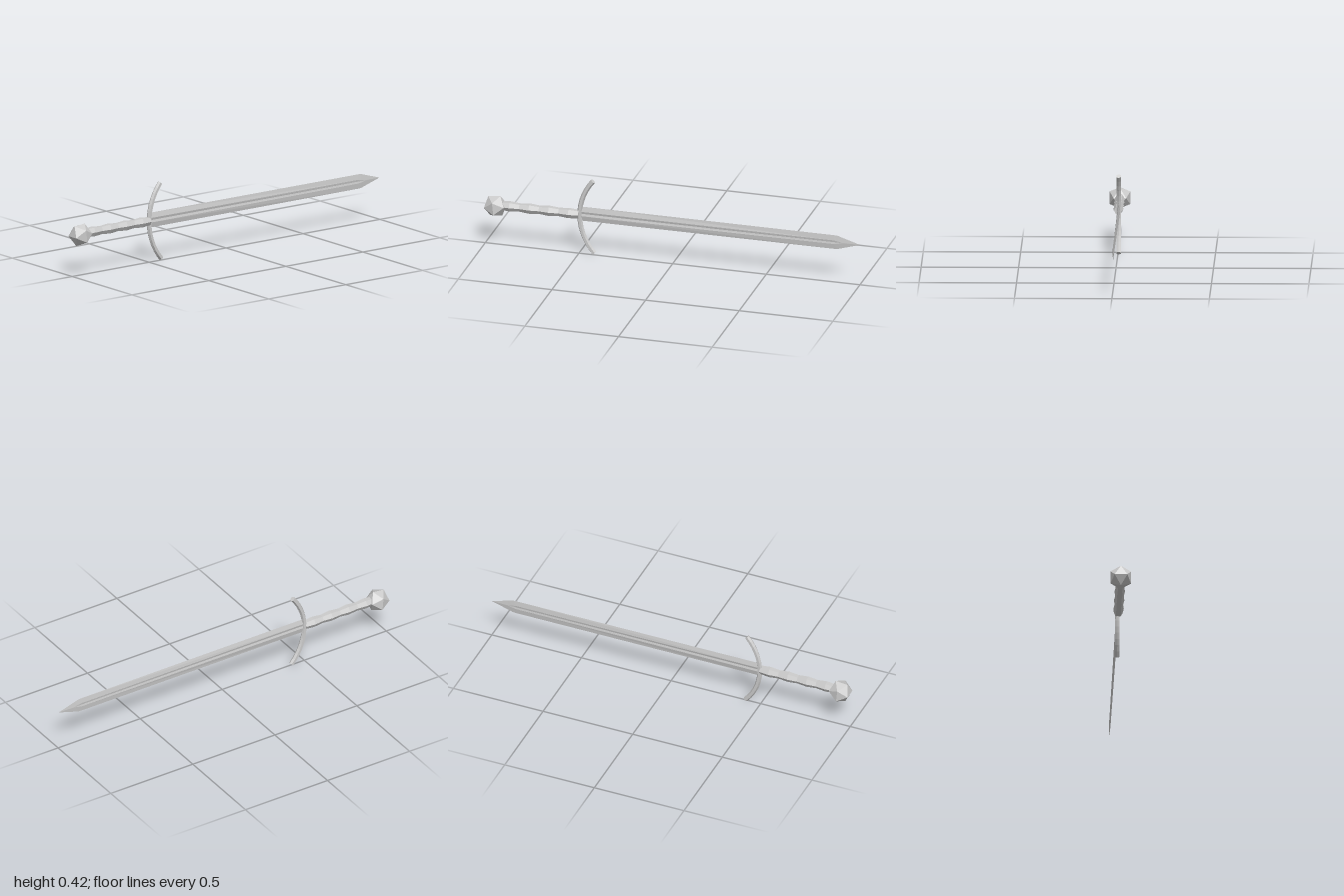
import * as THREE from 'three';

const V = (x, y, z) => new THREE.Vector3(x, y, z);
const material = new THREE.MeshStandardMaterial({ color: 0xcccccc, flatShading: true });

// Skin a list of equal-length rings, closing both ends with fans
function loft(rings) {
  const n = rings[0].length, pos = [];
  const tri = (...pts) => pts.forEach(p => pos.push(p.x, p.y, p.z));
  for (let i = 0; i < rings.length - 1; i++) {
    for (let j = 0; j < n; j++) {
      const k = (j + 1) % n;
      const a = rings[i][j], b = rings[i][k], c = rings[i + 1][k], d = rings[i + 1][j];
      tri(a, b, c);
      tri(a, c, d);
    }
  }
  const centre = r => r.reduce((s, p) => s.add(p), V(0, 0, 0)).divideScalar(n);
  const first = rings[0], last = rings[rings.length - 1];
  const c0 = centre(first), c1 = centre(last);
  for (let j = 0; j < n; j++) {
    const k = (j + 1) % n;
    tri(c0, first[k], first[j]);
    tri(c1, last[j], last[k]);
  }
  const g = new THREE.BufferGeometry();
  g.setAttribute('position', new THREE.Float32BufferAttribute(pos, 3));
  g.computeVertexNormals();
  return g;
}

// Six-sided ring around a centre, spanned by axes u and v
function hexRing(centre, u, v, radius, offset = 0) {
  return Array.from({ length: 6 }, (_, j) => {
    const a = offset + j * Math.PI / 3;
    return centre.clone().addScaledVector(u, radius * Math.cos(a)).addScaledVector(v, radius * Math.sin(a));
  });
}

export function createModel() {
  const sword = new THREE.Group();
  sword.name = 'sword';
  const add = (name, geometry) => {
    const mesh = new THREE.Mesh(geometry, material);
    mesh.name = name;
    sword.add(mesh);
    return mesh;
  };

  // Pommel: slightly turned icosahedron
  const pommel = add('pommel', new THREE.IcosahedronGeometry(0.062, 0));
  pommel.position.set(-0.946, 0.213, 0);
  pommel.rotation.z = THREE.MathUtils.degToRad(6);

  // Grip: hexagonal bar with four soft swells
  const grip = [];
  for (let i = 0; i <= 16; i++) {
    const t = i / 16;
    const radius = 0.0245 - 0.0025 * Math.cos(t * 8 * Math.PI);
    grip.push(hexRing(V(-0.92 + 0.42 * t, 0.218, 0), V(0, 1, 0), V(0, 0, 1), radius, Math.PI / 6));
  }
  add('grip', loft(grip));

  // Crossguard: hexagonal bar bent towards the blade
  const guard = [];
  for (let i = 0; i <= 14; i++) {
    const a = THREE.MathUtils.degToRad(222 - 82 * i / 14);
    const out = V(Math.cos(a), Math.sin(a), 0);
    const centre = out.clone().multiplyScalar(0.304).add(V(-0.193, 0.213, -0.004));
    guard.push(hexRing(centre, out, V(0, 0, 1), 0.0132));
  }
  add('crossguard', loft(guard));

  // Blade: x, half width, ridge offset, ridge thickness, groove thickness
  const stations = [
    [-0.498, 0.039, 0.012, 0.0062, 0.003],
    [0.86, 0.038, 0.010, 0.0036, 0.0018],
    [0.88, 0.037, 0.007, 0.0034, 0.0026],
    [0.905, 0.029, 0.001, 0.003, 0.003],
    [1.0, 0, 0, 0, 0],
  ];
  add('blade', loft(stations.map(([x, w, g, t, f]) =>
    [[w, 0], [g, t], [0, f], [-g, t], [-w, 0], [-g, -t], [0, -f], [g, -t]]
      .map(([y, z]) => V(x, 0.221 + y, -0.004 + z)))));

  return sword;
}
